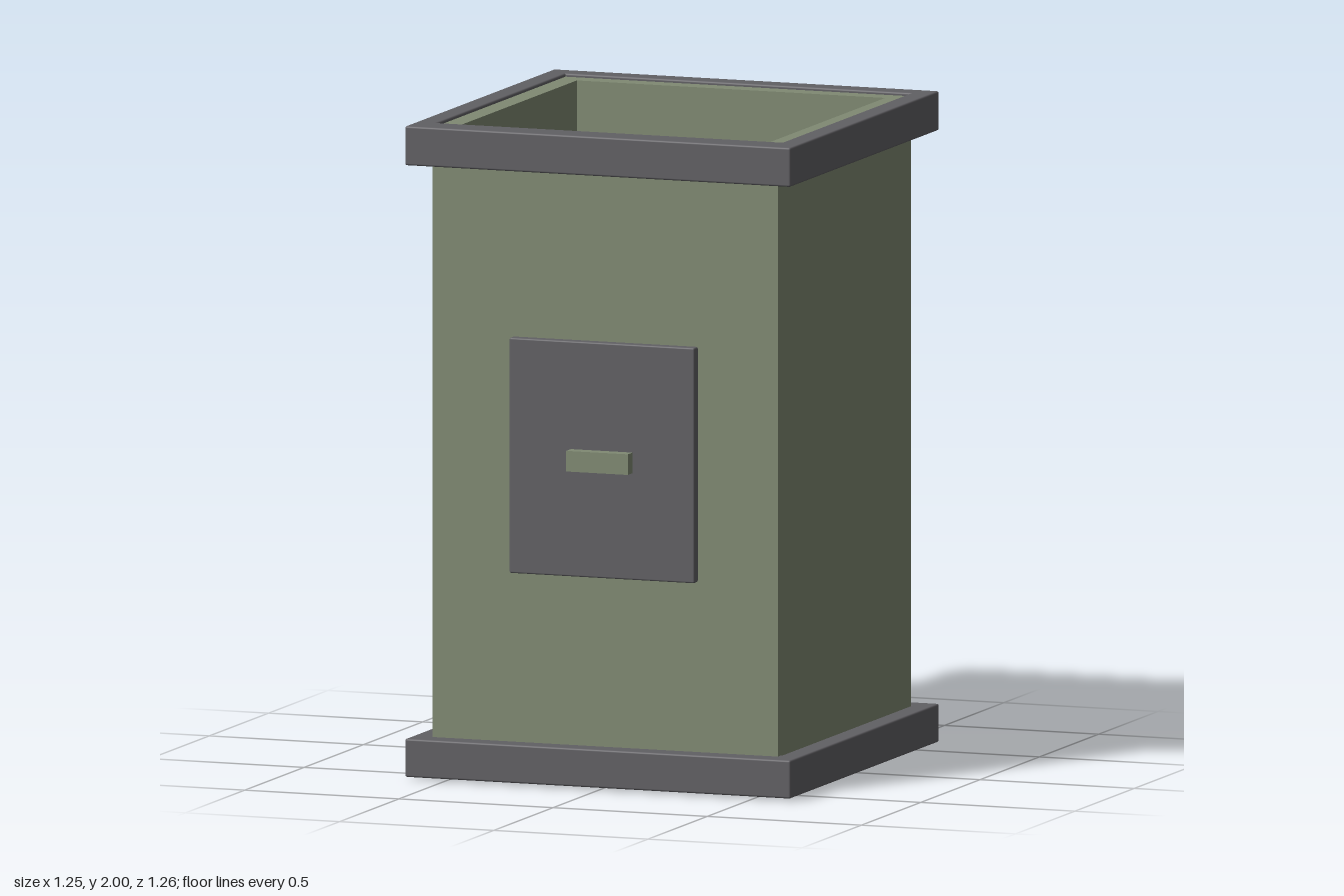
import * as THREE from 'three';
import { RoundedBoxGeometry } from 'three/addons/geometries/RoundedBoxGeometry.js';

export function createModel() {
  const model = new THREE.Group();
  model.name = 'squareChimney';
  const green = new THREE.MeshStandardMaterial({ color: 0x808a73 });
  green.name = 'sage green';
  const grey = new THREE.MeshStandardMaterial({ color: 0x616064 });
  grey.name = 'dark grey';

  // Box given by its minimum and maximum corners, with an optional soft edge
  function box(name, material, min, max, radius = 0) {
    const size = max.map((v, i) => v - min[i]);
    const geometry = radius
      ? new RoundedBoxGeometry(...size, 2, radius)
      : new THREE.BoxGeometry(...size);
    const mesh = new THREE.Mesh(geometry, material);
    mesh.name = name;
    mesh.position.set(...min.map((v, i) => (v + max[i]) / 2));
    model.add(mesh);
  }

  // Four wall panels, open at the top and bottom
  const inner = 0.5, outer = 0.56, wallTop = 1.99;
  box('frontWall', green, [-inner, 0, inner], [inner, wallTop, outer]);
  box('backWall', green, [-inner, 0, -outer], [inner, wallTop, -inner]);
  box('leftWall', green, [inner, 0, -outer], [outer, wallTop, outer]);
  box('rightWall', green, [-outer, 0, -outer], [-inner, wallTop, outer]);

  // Trim bands around the top and the base
  const edge = 0.625, soft = 0.006;
  for (const [name, y0, y1] of [['base', 0.008, 0.125], ['top', 1.88, 2]]) {
    box(name + 'FrontTrim', grey, [-edge, y0, 0.525], [edge, y1, edge], soft);
    box(name + 'BackTrim', grey, [-edge, y0, -edge - 0.005], [edge, y1, -outer], soft);
    box(name + 'LeftTrim', grey, [outer, y0, -edge], [edge, y1, 0.56], soft);
    box(name + 'RightTrim', grey, [-edge, y0, -edge], [-outer, y1, 0.56], soft);
  }

  // Hatch door and its handle
  box('hatchDoor', grey, [-0.3, 0.645, 0.555], [0.3, 1.365, 0.59], 0.005);
  box('hatchHandle', green, [-0.1, 0.972, 0.585], [0.1, 1.035, 0.63]);

  return model;
}
